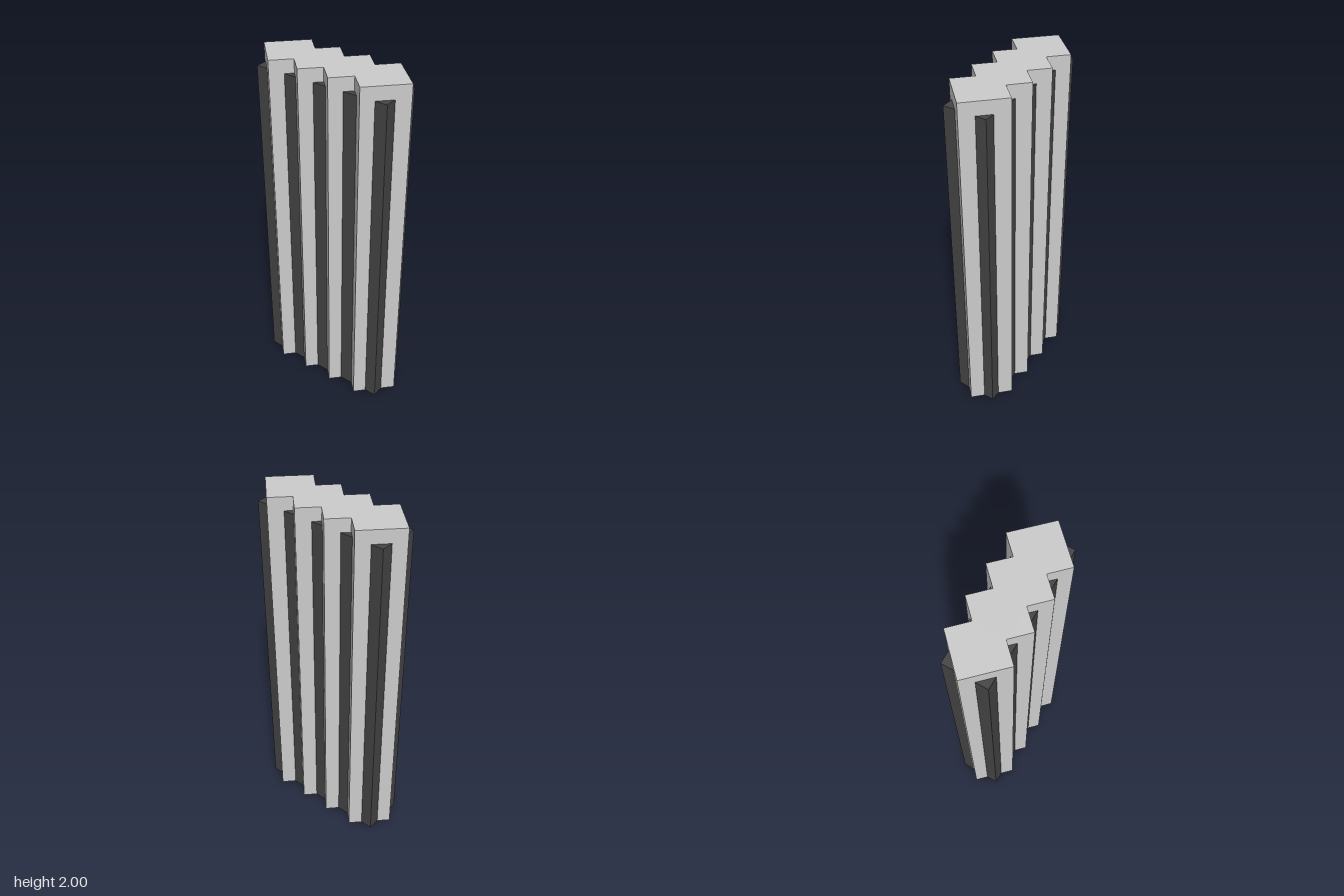
import * as THREE from 'three';

export function createModel() {
  const model = new THREE.Group();
  const light = new THREE.MeshStandardMaterial({ color: 0xcccccc, flatShading: true });
  const dark = new THREE.MeshStandardMaterial({ color: 0x444444, flatShading: true });

  // Zigzag tower: a row of four merged diamonds, extruded upwards
  const count = 4, pitch = 0.1825, radius = 0.178, height = 2;
  const valley = radius - pitch / 2;
  const centreX = i => (i - (count - 1) / 2) * pitch;
  const centreZ = i => 0.0005 - i * 0.0015; // the row drifts slightly backwards

  const outline = [[centreX(0) - radius, centreZ(0)]];
  for (let i = 0; i < count; i++) {
    outline.push([centreX(i), centreZ(i) + radius]);
    if (i < count - 1) outline.push([centreX(i + 0.5), centreZ(i + 0.5) + valley]);
  }
  outline.push([centreX(count - 1) + radius, centreZ(count - 1)]);
  for (let i = count - 1; i >= 0; i--) {
    outline.push([centreX(i), centreZ(i) - radius]);
    if (i > 0) outline.push([centreX(i - 0.5), centreZ(i - 0.5) - valley]);
  }
  const shape = new THREE.Shape(outline.map(([x, z]) => new THREE.Vector2(x, -z)));
  const towerGeometry = new THREE.ExtrudeGeometry(shape, { depth: height, bevelEnabled: false });
  towerGeometry.rotateX(-Math.PI / 2);
  const tower = new THREE.Mesh(towerGeometry, light);
  tower.name = 'zigzagTower';
  model.add(tower);

  // Dark core block showing in the valleys and at the corners
  const coreHeight = 1.925;
  const core = new THREE.Mesh(new THREE.BoxGeometry(0.792, coreHeight, 0.245), dark);
  core.position.set(-0.002, coreHeight / 2, 0);
  core.name = 'darkCore';
  model.add(core);

  return model;
}
